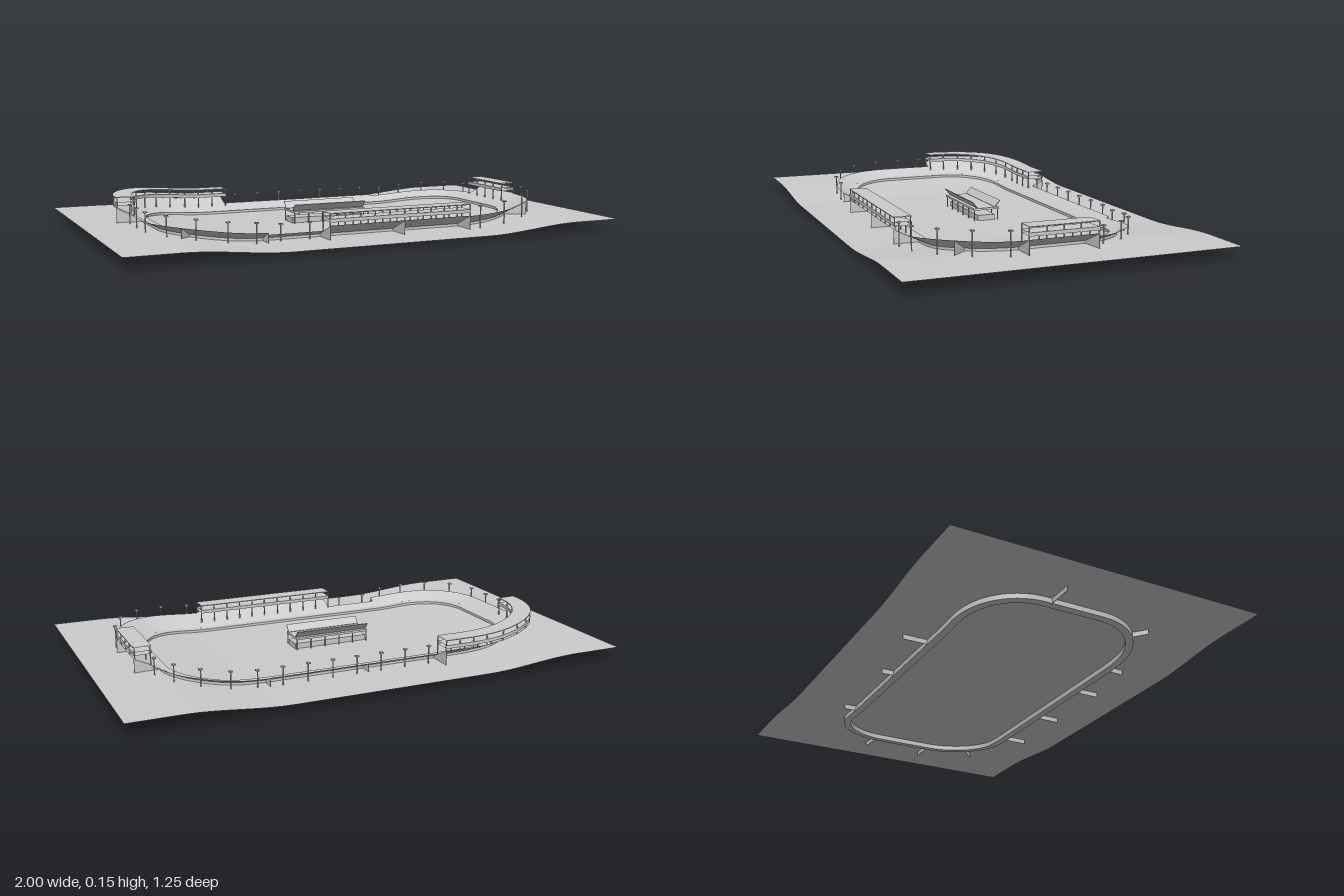
import * as THREE from 'three';
import { toCreasedNormals } from 'three/addons/utils/BufferGeometryUtils.js';

const mat = new THREE.MeshStandardMaterial({ color: 0xcccccc, side: THREE.DoubleSide });

// Ground height: flat in the middle, lifted towards both ends
const ground = (x) => 0.02 + 0.027 * THREE.MathUtils.smoothstep(Math.abs(x), 0.4, 0.8);

// Rounded-rectangle course: corner centres at (±CX, ±CZ), s runs along the line of radius R
const CX = 0.5, CZ = 0.12, R = 0.25, ARC = R * Math.PI / 2;
const LOOP = 4 * (CX + CZ + ARC);
const legs = [ // start corner, length, outward angle
  [-CX, CZ, 2 * CX, 0], [CX, CZ, 2 * CZ, 1], [CX, -CZ, 2 * CX, 2], [-CX, -CZ, 2 * CZ, 3],
];

function onCourse(s, r, h) {
  s = ((s % LOOP) + LOOP) % LOOP;
  for (const [cx, cz, length, quarter] of legs) {
    const a = quarter * Math.PI / 2;
    if (s <= length + ARC) {
      const along = Math.min(s, length);
      const b = a + Math.max(0, s - length) / R;
      const x = cx + Math.cos(a) * along + Math.sin(b) * r;
      const z = cz - Math.sin(a) * along + Math.cos(b) * r;
      return [x, ground(x) + h, z];
    }
    s -= length + ARC;
  }
  return onCourse(0, r, h);
}

// Sweep a profile of [radius, height above ground] along the course
function sweep(profile, s0, s1) {
  const n = Math.ceil((s1 - s0) / 0.03), m = profile.length, pos = [], index = [];
  for (let i = 0; i <= n; i++) {
    for (const [r, h] of profile) pos.push(...onCourse(s0 + (s1 - s0) * i / n, r, h));
  }
  for (let i = 0; i < n; i++) {
    for (let j = 0; j < m - 1; j++) {
      const a = i * m + j, b = a + m;
      index.push(a, b, a + 1, b, b + 1, a + 1);
    }
  }
  const geo = new THREE.BufferGeometry();
  geo.setAttribute('position', new THREE.Float32BufferAttribute(pos, 3));
  geo.setIndex(index);
  return toCreasedNormals(geo, 0.5);
}

const slab = (r0, r1, h0, h1) => [[r0, h0], [r0, h1], [r1, h1], [r1, h0], [r0, h0]];
const seatHeight = (r) => 0.01 + (r - R) * 0.47;

export function createModel() {
  const model = new THREE.Group();

  function add(parent, name, geo, x = 0, y = 0, z = 0) {
    const mesh = new THREE.Mesh(geo, mat);
    mesh.name = name;
    mesh.position.set(x, y, z);
    parent.add(mesh);
    return mesh;
  }
  const box = (parent, name, w, h, d, x, y, z) =>
    add(parent, name, new THREE.BoxGeometry(w, h, d), x, y, z);

  // Upright thin post on the course
  function post(parent, name, s, r, h0, h1) {
    const [x, y, z] = onCourse(s, r, (h0 + h1) / 2);
    box(parent, name, 0.004, h1 - h0, 0.004, x, y, z);
  }

  // Ground sheet
  const sheet = new THREE.PlaneGeometry(2, 1.25, 60, 1).rotateX(-Math.PI / 2);
  const p = sheet.attributes.position;
  for (let i = 0; i < p.count; i++) p.setY(i, ground(p.getX(i)));
  sheet.computeVertexNormals();
  add(model, 'ground', sheet);

  // Low wall around the field
  add(model, 'fieldWall', sweep(slab(0.22, R, -0.02, 0.01), 0, LOOP));

  // Stand sections: start, end, outer radius, with upper deck
  const sections = [
    [0.08, 0.31, 0.285, false], [0.31, 0.62, 0.345, true], [0.62, 0.91, 0.345, true],
    [0.91, 1.2, 0.34, false], [1.2, 1.39, 0.34, false], [1.39, 1.65, 0.345, true],
    [1.65, 2.116, 0.29, false], [2.116, 2.516, 0.3, false], [2.516, 2.826, 0.3, false],
    [2.826, 3.44, 0.35, true], [3.44, 3.855, 0.31, false], [3.855, LOOP + 0.08, 0.31, false],
  ];
  sections.forEach(([s0, s1, outer, covered], i) => {
    const stand = new THREE.Group();
    stand.name = 'standSection';
    model.add(stand);
    const top = seatHeight(outer);
    add(stand, 'seatSlope', sweep([[R, 0.01], [outer, top]], s0, s1));

    // Radial support wall at the start of the section
    const reach = Math.max(outer, sections[(i + 11) % 12][2]);
    add(stand, 'supportWall', sweep(
      [[R, -0.02], [reach, -0.02], [reach, seatHeight(reach)], [R, 0.01], [R, -0.02]],
      s0 - 0.001, s0 + 0.001));
    const [a, b, c, d] = [[R, -0.02], [reach, -0.02], [reach, seatHeight(reach)], [R, 0.01]]
      .map(([r, h]) => onCourse(s0, r, h));
    const face = new THREE.BufferGeometry();
    face.setAttribute('position', new THREE.Float32BufferAttribute([a, b, c, a, c, d].flat(), 3));
    face.computeVertexNormals();
    add(stand, 'supportFace', face);

    const count = Math.max(2, Math.round((s1 - s0) / (covered ? 0.06 : 0.1)));
    if (covered) {
      // Upper deck, thin roof and their posts
      add(stand, 'upperDeck', sweep(slab(0.275, outer, 0.066, 0.079), s0, s1));
      add(stand, 'roof', sweep(slab(0.275, outer, 0.097, 0.1), s0, s1));
      for (let k = 0; k <= count; k++) {
        const s = s0 + (s1 - s0) * k / count;
        post(stand, 'innerPost', s, 0.28, seatHeight(0.28), 0.098);
        post(stand, 'outerPost', s, outer - 0.004, top - 0.002, 0.098);
      }
    } else {
      // Lamp posts along the outer rim
      for (let k = 0; k < count; k++) {
        const s = s0 + (s1 - s0) * (k + 0.5) / count;
        post(stand, 'lampPost', s, outer, 0, top + 0.035);
        const [x, y, z] = onCourse(s, outer, top + 0.037);
        box(stand, 'lampHead', 0.014, 0.005, 0.014, x, y, z);
      }
    }
  });

  // Central pavilion with a deck and two flared parapets
  const pavilion = new THREE.Group();
  pavilion.name = 'centralPavilion';
  pavilion.position.set(-0.003, 0.02, -0.005);
  model.add(pavilion);
  box(pavilion, 'base', 0.315, 0.022, 0.07, 0, 0.011, 0);
  box(pavilion, 'deck', 0.315, 0.008, 0.11, 0, 0.046, 0);
  for (const side of [-1, 1]) {
    const parapet = box(pavilion, 'parapet', 0.315, 0.034, 0.003, 0, 0.064, side * 0.048);
    parapet.rotation.x = side * 0.7;
    for (let k = 0; k <= 5; k++) {
      box(pavilion, 'pavilionPost', 0.004, 0.045, 0.004, -0.155 + k * 0.062, 0.0225, side * 0.05);
    }
  }
  return model;
}
